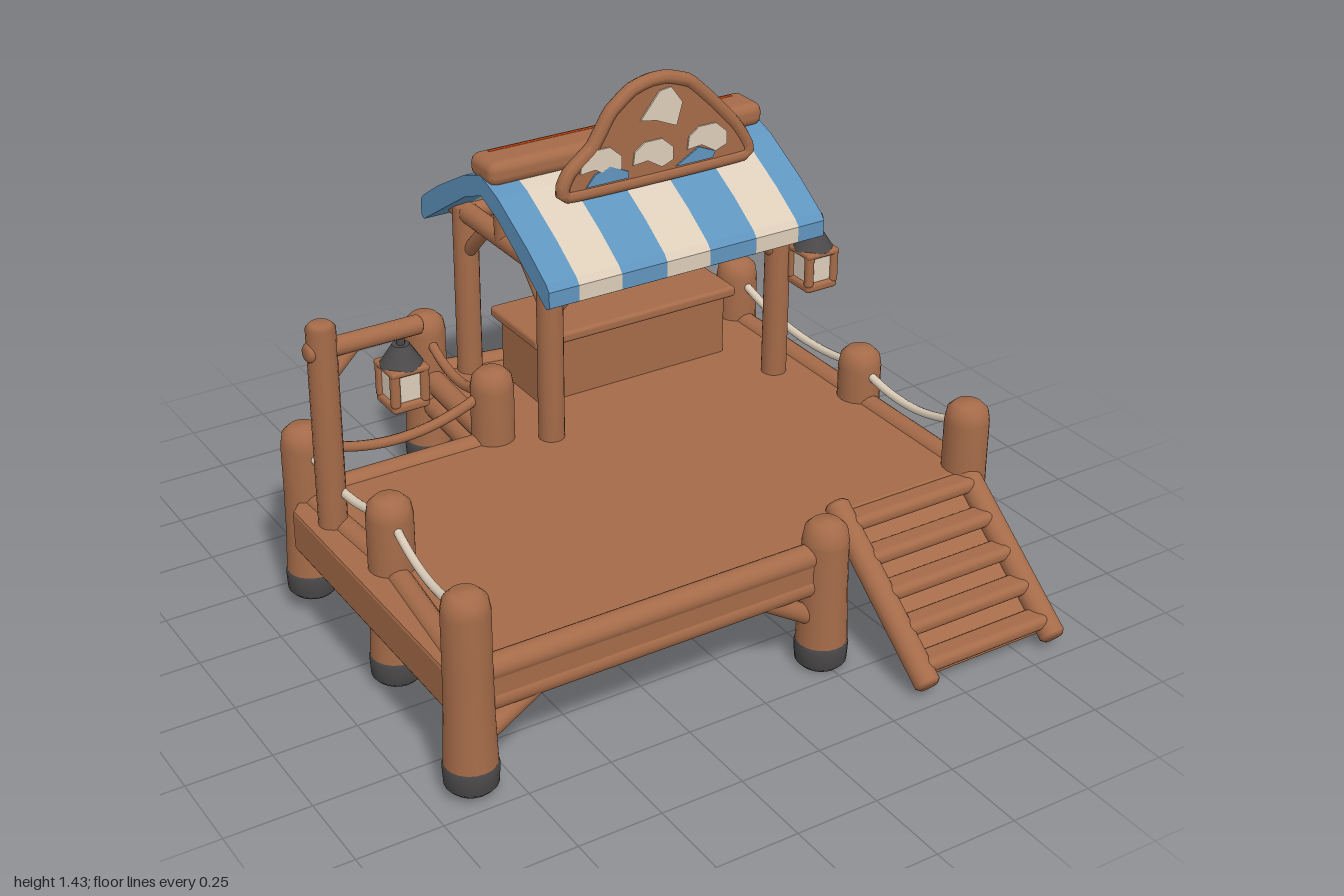
import * as THREE from 'three';
import { RoundedBoxGeometry } from 'three/addons/geometries/RoundedBoxGeometry.js';

const paint = (name, color) => Object.assign(new THREE.MeshStandardMaterial({ color }), { name });
const V = (x, y, z) => new THREE.Vector3(x, y, z);

export function createModel() {
  const model = new THREE.Group();
  model.name = 'dockStall';
  const wood = paint('wood', 0xa56b49), dark = paint('darkIron', 0x4b4949), blue = paint('blueCloth', 0x5f94be);
  const cream = paint('creamCloth', 0xdccdb9), orange = paint('orange', 0xdf4a12);

  const add = (name, geo, mat, parent = model) => {
    const m = new THREE.Mesh(geo, mat);
    m.name = name;
    parent.add(m);
    return m;
  };
  const box = (name, w, h, d, x, y, z, mat = wood, parent = model, r = 0.012) => {
    const m = add(name, new RoundedBoxGeometry(w, h, d, 2, Math.min(r, w / 2.1, h / 2.1, d / 2.1)), mat, parent);
    m.position.set(x, y, z);
    return m;
  };
  // Round log between two points, with softened ends
  const log = (name, a, b, r, mat = wood, parent = model) => {
    const h = a.distanceTo(b) / 2, e = r * 0.3;
    const pts = [[0, -h], [r - e, -h], [r, -h + e], [r, h - e], [r - e, h], [0, h]];
    const m = add(name, new THREE.LatheGeometry(pts.map(p => new THREE.Vector2(...p)), 16), mat, parent);
    m.position.copy(a).add(b).multiplyScalar(0.5);
    m.quaternion.setFromUnitVectors(V(0, 1, 0), b.clone().sub(a).normalize());
    return m;
  };
  const shapeOf = pts => new THREE.Shape(pts.map(p => new THREE.Vector2(...p)));

  // Mooring posts: x, z, bottom, top
  const posts = {
    A: [-0.84, -0.36, 0.05, 0.6], B: [-0.23, -0.36, 0.05, 0.61], C: [-0.2, -0.85, 0.06, 0.58],
    D: [0.86, -0.67, 0.05, 0.58], E: [0.86, 0, 0.05, 0.545], F: [0.86, 0.51, 0.01, 0.59],
    G: [0.25, 0.66, 0, 0.465], H: [-0.87, 0.66, 0.02, 0.62], I: [-0.81, 0.12, 0.02, 0.6],
  };
  for (const [x, z, y0, y1] of Object.values(posts)) {
    const g = new THREE.Group();
    g.name = 'mooringPost';
    g.position.set(x, 0, z);
    model.add(g);
    const prof = [[0.074, y0 + 0.08], [0.068, 0.25], [0.066, 0.4], [0.066, y1 - 0.06], [0.06, y1 - 0.025], [0.04, y1 - 0.005], [0, y1]];
    add('postShaft', new THREE.LatheGeometry(prof.map(p => new THREE.Vector2(...p)), 20), wood, g);
    const foot = [[0, y0], [0.06, y0], [0.074, y0 + 0.015], [0.077, y0 + 0.07], [0.07, y0 + 0.085]];
    add('postFoot', new THREE.LatheGeometry(foot.map(p => new THREE.Vector2(...p)), 20), dark, g);
  }

  // Deck
  const outline = [[-0.91, 0.68], [0.27, 0.68], [0.28, 0.6], [0.36, 0.53], [0.86, 0.53], [0.86, -0.68],
    [0.74, -0.78], [-0.18, -0.84], [-0.22, -0.36], [-0.84, -0.36], [-0.91, -0.28]];
  const deck = new THREE.ExtrudeGeometry(shapeOf(outline.map(([x, z]) => [x, -z])),
    { depth: 0.11, bevelEnabled: true, bevelThickness: 0.01, bevelSize: 0.01, bevelSegments: 2 });
  add('deck', deck.rotateX(-Math.PI / 2).translate(0, 0.26, 0), wood);

  // Edge logs: upper and lower along each side of the deck
  const at = (k, y) => V(posts[k][0], y, posts[k][1]);
  const edges = [['H', 'G'], ['F', 'E'], ['E', 'D'], ['A', 'B'], ['B', 'C'], ['A', 'I'], ['I', 'H'], ['C', 'D']];
  for (const [a, b] of edges) {
    log('upperEdgeLog', at(a, 0.365), at(b, 0.365), 0.036);
    log('lowerEdgeLog', at(a, 0.275), at(b, 0.275), 0.036);
  }
  // Slanted braces under the deck
  for (const [a, b] of [['H', 'G'], ['G', 'H'], ['C', 'D'], ['B', 'A'], ['A', 'B']]) {
    const p = at(a, 0.14), q = at(b, 0.14);
    const end = p.clone().add(q.sub(p).normalize().multiplyScalar(0.24));
    end.y = 0.29;
    log('deckBrace', p, end, 0.028);
  }

  // Sagging ropes
  const rope = (a, b, mat, r, sag = 0.08) => {
    const p = at(a, posts[a][3] - 0.06), q = at(b, posts[b][3] - 0.06);
    const c = p.clone().lerp(q, 0.5);
    c.y -= sag * 2;
    add('rope', new THREE.TubeGeometry(new THREE.QuadraticBezierCurve3(p, c, q), 20, r, 8), mat);
  };
  for (const [a, b] of [['H', 'I'], ['I', 'A'], ['F', 'E'], ['E', 'D']]) rope(a, b, cream, 0.013, 0.055);
  rope('A', 'B', wood, 0.016);
  rope('B', 'C', wood, 0.016);

  // Gangway
  const slope = (x, t) => V(x, 0.37 - 0.31 * t, 0.54 + 0.4 * t);
  for (const x of [0.395, 0.845]) log('gangwayRail', slope(x, -0.08), slope(x, 1.07), 0.038);
  const ramp = box('gangwayBoard', 0.44, 0.02, 0.5, 0.62, 0.195, 0.73);
  ramp.rotation.x = Math.atan2(0.31, 0.4);
  for (let i = 0; i < 5; i++) {
    const c = slope(0.62, 0.06 + i * 0.22);
    box('gangwayStep', 0.45, 0.045, 0.075, c.x, c.y + 0.005, c.z, wood, model, 0.02);
  }

  // Stall frame
  const zf = -0.27, zb = -0.78, xl = -0.08, xr = 0.73;
  for (const x of [xl, xr]) {
    log('stallFrontPost', V(x, 0.35, zf), V(x, 0.95, zf), 0.04);
    log('stallBackPost', V(x, 0.16, zb), V(x, 0.95, zb), 0.04);
    log('stallSideBeam', V(x, 0.925, -0.21), V(x, 0.925, -0.84), 0.033);
    log('kingPost', V(x, 0.92, -0.525), V(x, 1.14, -0.525), 0.035);
    log('sideBrace', V(x, 0.78, zf), V(x, 0.92, -0.41), 0.022);
    log('sideBrace', V(x, 0.78, zb), V(x, 0.92, -0.64), 0.022);
    const s = x < 0 ? 1 : -1;
    for (const z of [zf, zb]) log('crossBrace', V(x, 0.78, z), V(x + s * 0.13, 0.91, z), 0.022);
  }
  for (const z of [zf, zb]) log('stallCrossBeam', V(xl, 0.92, z), V(xr, 0.92, z), 0.03);

  // Counter
  box('counterBody', 0.68, 0.22, 0.24, 0.33, 0.48, -0.58);
  box('counterTop', 0.73, 0.035, 0.29, 0.33, 0.595, -0.58);

  // Striped cloth roof, both slopes
  const stripes = [-0.16, -0.06, 0.083, 0.238, 0.388, 0.552, 0.705, 0.8];
  const slopeProfile = [[0, 1.15], [0.1, 1.115], [0.27, 1.02], [0.375, 0.95], [0.392, 0.93], [0.392, 0.88],
    [0.375, 0.87], [0.25, 0.95], [0.1, 1.045], [0, 1.085]];
  for (const s of [1, -1]) {
    for (let i = 0; i < 7; i++) {
      const w = stripes[i + 1] - stripes[i];
      const g = new THREE.ExtrudeGeometry(shapeOf(slopeProfile.map(([u, y]) => [u * s - 0.525, y])), { depth: w, bevelEnabled: false });
      add('roofStripe', g.rotateY(-Math.PI / 2).translate(stripes[i + 1], 0, 0), i % 2 ? cream : blue);
    }
  }
  box('ridgeLog', 0.96, 0.075, 0.14, 0.32, 1.163, -0.53, wood, model, 0.03);
  box('ridgeStreak', 0.86, 0.004, 0.012, 0.32, 1.2, -0.565, orange);

  // Arched sign board with raised rim
  const rim = [[0.035, 1.1], [0.04, 1.17], [0.12, 1.235], [0.18, 1.33], [0.25, 1.385], [0.31, 1.403], [0.37, 1.403],
    [0.45, 1.375], [0.53, 1.3], [0.61, 1.215], [0.645, 1.165], [0.65, 1.1]];
  const board = new THREE.ExtrudeGeometry(shapeOf(rim), { depth: 0.03, bevelEnabled: false });
  add('signBoard', board.translate(0, 0, -0.375), wood);
  const rimCurve = new THREE.CatmullRomCurve3(rim.map(([x, y]) => V(x, y, -0.358)), true, 'catmullrom', 0.2);
  add('signRim', new THREE.TubeGeometry(rimCurve, 72, 0.022, 8, true), wood);
  const patch = (name, pts, mat) => add(name, new THREE.ExtrudeGeometry(shapeOf(pts), { depth: 0.005, bevelEnabled: false }).translate(0, 0, -0.345), mat);
  patch('signPatchTop', [[0.275, 1.29], [0.34, 1.37], [0.38, 1.375], [0.42, 1.32], [0.4, 1.25], [0.33, 1.28]], cream);
  for (const [x, y] of [[0.14, 1.165], [0.32, 1.155], [0.51, 1.165]]) {
    patch('signPatch', [[x - 0.07, y], [x - 0.065, y + 0.04], [x - 0.03, y + 0.065], [x + 0.03, y + 0.065],
      [x + 0.07, y + 0.03], [x + 0.07, y - 0.01], [x + 0.03, y - 0.025], [x - 0.02, y + 0.005]].reverse(), cream);
  }
  patch('signPatchLeft', [[0.09, 1.12], [0.235, 1.12], [0.235, 1.14], [0.17, 1.17], [0.12, 1.155]], blue);
  patch('signPatchRight', [[0.4, 1.12], [0.53, 1.12], [0.54, 1.14], [0.48, 1.165]], blue);

  // Lamp post and lanterns
  log('lampPost', V(-0.85, 0.3, -0.165), V(-0.85, 1.005, -0.165), 0.042);
  log('lampArm', V(-0.9, 0.925, -0.165), V(-0.55, 0.925, -0.165), 0.028);
  log('lampBrace', V(-0.85, 0.82, -0.165), V(-0.75, 0.92, -0.165), 0.02);
  const lantern = (x, z) => {
    const g = new THREE.Group();
    g.name = 'lantern';
    g.position.set(x, 0.69, z);
    model.add(g);
    box('lanternBase', 0.115, 0.03, 0.115, 0, 0.018, 0, wood, g);
    box('lanternGlass', 0.095, 0.1, 0.095, 0, 0.075, 0, cream, g);
    for (const sx of [-1, 1]) for (const sz of [-1, 1]) box('lanternBar', 0.028, 0.11, 0.028, sx * 0.045, 0.075, sz * 0.045, wood, g);
    box('lanternCollar', 0.12, 0.02, 0.12, 0, 0.125, 0, wood, g);
    add('lanternCap', new THREE.CylinderGeometry(0.025, 0.064, 0.06, 12), dark, g).position.y = 0.16;
    log('lanternHook', V(0, 0.18, 0), V(0, 0.24, 0), 0.012, dark, g);
  };
  lantern(-0.615, -0.165);
  lantern(0.805, -0.19);
  log('lanternBracket', V(0.7, 0.915, -0.19), V(0.83, 0.915, -0.19), 0.018);

  // Two-tone float behind the stall
  const float = new THREE.Group();
  float.name = 'float';
  float.position.set(0.55, 0.65, -0.9);
  float.rotation.y = 0.2;
  model.add(float);
  add('floatFront', new THREE.SphereGeometry(0.1, 16, 16, 0, Math.PI), wood, float);
  add('floatBack', new THREE.SphereGeometry(0.1, 16, 16, Math.PI, Math.PI), orange, float);

  // Worn orange streak on the rear right post
  const streak = new THREE.CylinderGeometry(0.071, 0.076, 0.4, 4, 1, true, 1.85, 0.35);
  add('postStreak', streak, orange).position.set(0.86, 0.34, -0.67);
  return model;
}
